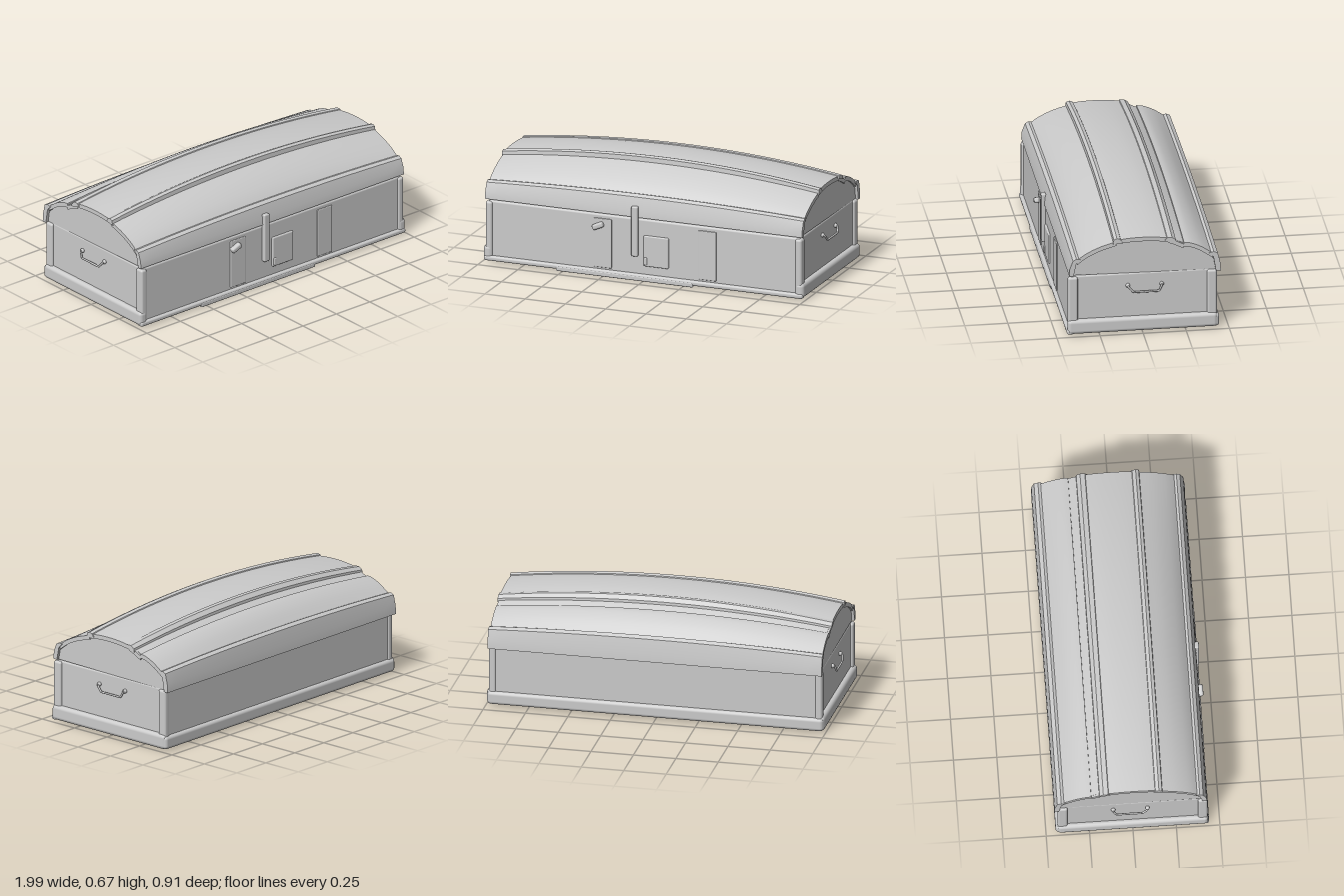
import * as THREE from 'three';
import { toCreasedNormals } from 'three/addons/utils/BufferGeometryUtils.js';
import { RoundedBoxGeometry } from 'three/addons/geometries/RoundedBoxGeometry.js';

const mat = new THREE.MeshStandardMaterial({ color: 0xcccccc, side: THREE.DoubleSide });

export function createModel() {
  const root = new THREE.Group();

  function add(name, geo, x = 0, y = 0, z = 0) {
    const m = new THREE.Mesh(geo, mat);
    m.name = name;
    m.position.set(x, y, z);
    root.add(m);
    return m;
  }

  // Rounded block given by its limits
  function block(name, x0, x1, y0, y1, z0, z1, r = 0.01) {
    const w = x1 - x0, h = y1 - y0, d = z1 - z0;
    const geo = new RoundedBoxGeometry(w, h, d, 2, Math.min(r, w * 0.45, h * 0.45, d * 0.45));
    return add(name, geo, (x0 + x1) / 2, (y0 + y1) / 2, (z0 + z1) / 2);
  }

  // Extrude a (z, y) profile along x and bow it upwards in the middle
  function bowed(points, half) {
    const shape = new THREE.Shape(points.map(([z, y]) => new THREE.Vector2(-z, y)));
    const geo = new THREE.ExtrudeGeometry(shape, { depth: half * 2, steps: 24, bevelEnabled: false });
    geo.translate(0, 0, -half);
    geo.rotateY(Math.PI / 2);
    const p = geo.attributes.position;
    for (let i = 0; i < p.count; i++) {
      const y = p.getY(i);
      const lift = THREE.MathUtils.clamp((y - 0.42) / 0.17, 0, 1);
      p.setY(i, y + 0.07 * lift * (1 - (p.getX(i) / 0.98) ** 2));
    }
    return toCreasedNormals(geo, 0.5);
  }

  // Smooth run of profile points
  const curve = (pts, n) => new THREE.SplineCurve(pts.map(p => new THREE.Vector2(...p)))
    .getPoints(n).map(v => [v.x, v.y]);

  // Body with corner posts and top rails that frame the recessed ends
  block('body', -0.967, 0.967, 0.02, 0.37, -0.425, 0.42, 0.012);
  for (const s of [-1, 1]) {
    const [a, b] = s > 0 ? [0.94, 0.982] : [-0.982, -0.94];
    block('cornerPostFront', a, b, 0.03, 0.365, 0.375, 0.432, 0.014);
    block('cornerPostBack', a, b, 0.03, 0.365, -0.432, -0.375, 0.014);
    block('endSill', s > 0 ? 0.94 : -0.995, s > 0 ? 0.995 : -0.94, 0.012, 0.1, -0.435, 0.435, 0.022);
  }

  // Base mouldings and floor boards
  block('baseMouldingFront', -0.99, 0.99, 0.01, 0.04, 0.40, 0.44, 0.012);
  block('baseMouldingBack', -0.99, 0.99, 0.012, 0.09, -0.445, -0.40, 0.02);
  const seams = [-0.97, -0.58, -0.2, 0.2, 0.58, 0.97];
  for (let i = 0; i < 5; i++)
    block('floorBoard', seams[i] + 0.004, seams[i + 1] - 0.004, 0.008, 0.03, -0.42, 0.42, 0.006);
  block('frontSkid', -0.54, 0.31, 0, 0.03, 0.415, 0.442, 0.008);

  // Lid core with domed ends
  const core = [[0.41, 0.375], [0.405, 0.42],
    ...curve([[0.39, 0.462], [0.25, 0.53], [0.13, 0.575], [0, 0.588],
      [-0.13, 0.577], [-0.25, 0.535], [-0.36, 0.475], [-0.425, 0.42]], 28),
    [-0.435, 0.365]];
  add('lidCore', bowed(core, 0.967));

  // Curved boards covering the lid, each a thin strip
  function board(name, pts, thick, half = 0.978) {
    const top = curve(pts, 10);
    const under = top.map(([z, y]) => [z * 0.985, y - thick]).reverse();
    add(name, bowed([...top, ...under], half));
  }
  board('frontBoard', [[0.385, 0.468], [0.33, 0.508], [0.25, 0.546], [0.155, 0.575]], 0.025);
  board('crownBoard', [[0.155, 0.584], [0.08, 0.592], [0, 0.594], [-0.08, 0.59], [-0.155, 0.58]], 0.025);
  board('rearInnerBoard', [[-0.15, 0.576], [-0.19, 0.56], [-0.24, 0.535]], 0.025);
  board('rearOuterBoard', [[-0.24, 0.547], [-0.28, 0.541], [-0.34, 0.515], [-0.41, 0.468]], 0.025);

  // Raised ribs along the lid
  const rib = (name, pts) => add(name, bowed(pts, 0.984));
  rib('frontRib', [[0.172, 0.56], [0.168, 0.59], [0.15, 0.598], [0.13, 0.592], [0.118, 0.57]]);
  rib('rearRib', [[-0.13, 0.57], [-0.142, 0.586], [-0.17, 0.586], [-0.192, 0.57], [-0.195, 0.55]]);

  // Lid skirts over the front and back edges
  rib('frontSkirt', [[0.402, 0.375], [0.427, 0.378], [0.424, 0.42], [0.405, 0.472], [0.385, 0.482],
    [0.362, 0.478], [0.385, 0.455]]);
  rib('backSkirt', [[-0.425, 0.36], [-0.453, 0.36], [-0.45, 0.41], [-0.435, 0.472], [-0.412, 0.482],
    [-0.385, 0.474], [-0.41, 0.45]]);

  // Front straps and lock
  block('strapLeft', 0.34, 0.45, 0.05, 0.345, 0.415, 0.427, 0.005);
  block('strapRight', -0.31, -0.2, 0.05, 0.345, 0.415, 0.427, 0.005);
  block('lockPlate', 0, 0.155, 0.09, 0.275, 0.415, 0.432, 0.008);
  block('lockKnob', 0.005, 0.025, 0.1, 0.145, 0.425, 0.438, 0.006);
  block('hasp', -0.072, -0.032, 0.145, 0.445, 0.416, 0.444, 0.008);
  const stub = block('strapBuckle', -0.315, -0.245, 0.285, 0.318, 0.415, 0.453, 0.012);
  stub.rotation.z = 0.4;

  // Carrying handles on both ends
  for (const s of [-1, 1]) {
    const path = new THREE.CurvePath();
    const pts = [[0.955, 0.295, 0.085], [0.985, 0.292, 0.085], [0.99, 0.258, 0.055],
      [0.99, 0.258, -0.095], [0.985, 0.295, -0.112], [0.955, 0.297, -0.112]]
      .map(([x, y, z]) => new THREE.Vector3(s * x, y, z));
    for (let i = 1; i < pts.length; i++) path.add(new THREE.LineCurve3(pts[i - 1], pts[i]));
    add('handle', new THREE.TubeGeometry(path, 40, 0.006, 8));
    for (const z of [0.085, -0.112])
      add('handleMount', new THREE.SphereGeometry(0.013, 12, 8), s * 0.972, 0.294, z);
  }

  return root;
}
